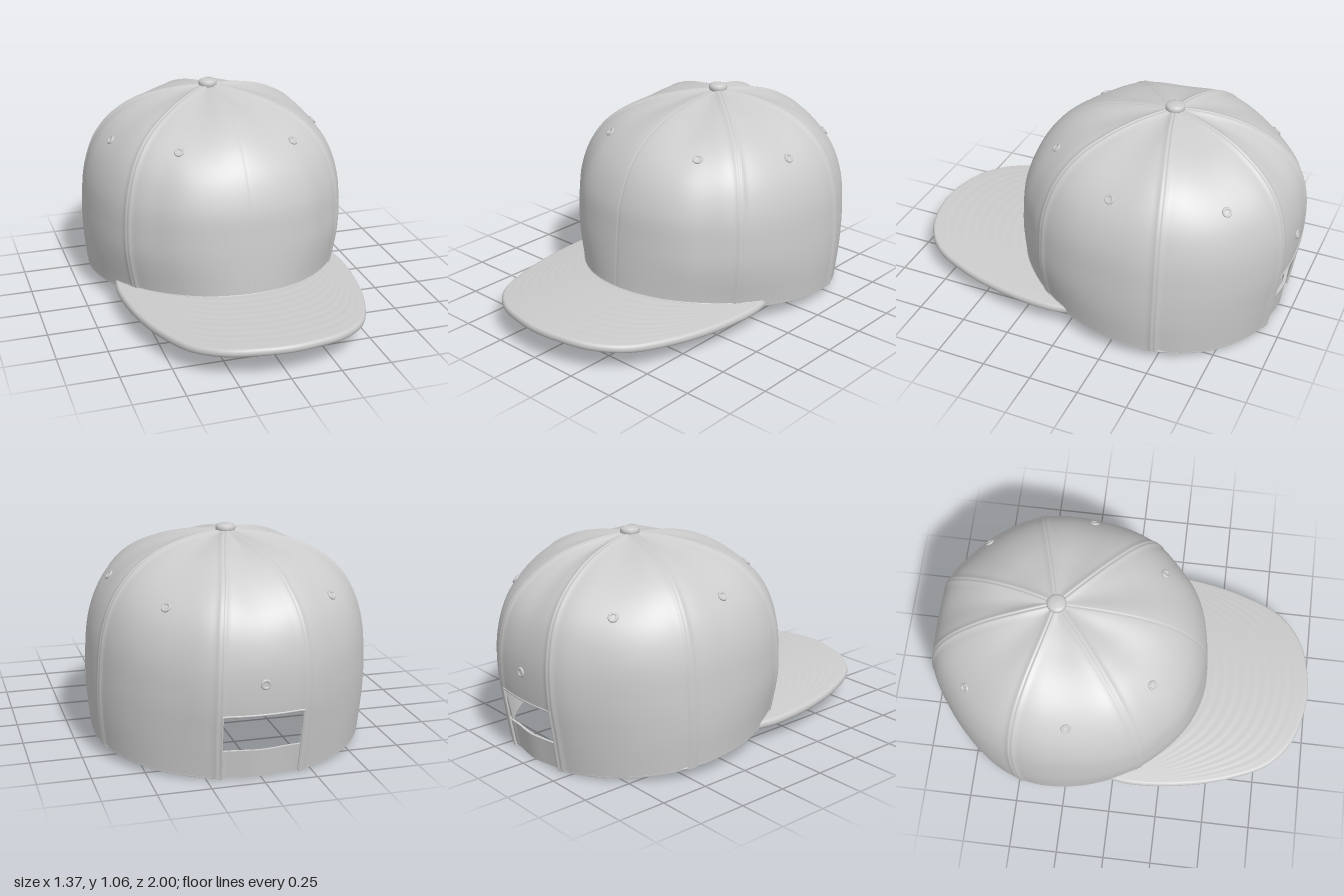
import * as THREE from 'three';
import { mergeVertices } from 'three/addons/utils/BufferGeometryUtils.js';

const material = new THREE.MeshStandardMaterial({ color: 0xcccccc, side: THREE.DoubleSide });
const rad = THREE.MathUtils.degToRad;
const { lerp, smoothstep } = THREE.MathUtils;
const CENTRE_Z = -0.33;
const SEAMS = [0, 53, 105, 163, 197, 255, 307, 360];
const OPEN_FROM = 164, OPEN_TO = 196, OPEN_TOP = 10 / 48;

// Crown profiles (radius, height) from the rim to the top button
const profile = pts => new THREE.CatmullRomCurve3(pts.map(([r, y]) => new THREE.Vector3(r, y, 0)));
const frontProfile = profile([[.777, .13], [.77, .3], [.758, .45], [.738, .6], [.675, .755], [.572, .872], [.42, .957], [.22, 1.007], [0, 1.03]]);
const sideProfile = profile([[.665, .068], [.682, .25], [.68, .42], [.66, .6], [.605, .755], [.51, .875], [.37, .96], [.19, 1.01], [0, 1.03]]);
const backProfile = profile([[.61, .002], [.635, .2], [.655, .38], [.65, .56], [.607, .72], [.525, .835], [.375, .945], [.18, 1.007], [0, 1.03]]);

// Point on the crown: a in degrees from the front towards +x, v from rim to top
function crownPoint(a, v, offset = 0) {
  const deg = ((a % 360) + 360) % 360;
  const s = Math.sin(rad(deg)), c = Math.cos(rad(deg));
  const end = (c > 0 ? frontProfile : backProfile).getPoint(v), side = sideProfile.getPoint(v);
  const mix = lerp(Math.abs(c), c * c, smoothstep(v, 0, 0.5));
  const p = new THREE.Vector3(s * side.x, lerp(side.y, end.y, mix), CENTRE_Z + c * end.x);
  const out = p.clone().sub(new THREE.Vector3(0, 0.4, CENTRE_Z));
  out.y *= smoothstep(v, 0.3, 0.6);
  out.normalize();

  // front corners pinch in at the rim and swell above it; back corners are square
  const corner = c > 0 ? (2 * s * c) ** 2 : 0;
  const swell = corner * (0.026 * Math.sin(Math.PI * Math.min(1, v / 0.75)) - 0.014 * (1 - smoothstep(v, 0, 0.2)));
  const square = 0.016 * Math.exp(-(((Math.abs(deg - 180) - 20) / 11) ** 2)) * Math.sin(Math.PI * Math.min(1, v / 0.72));

  // panels sag between the seams on the dome, front panels hollow beside the corner seams
  const k = Math.max(0, SEAMS.findIndex(d => d > deg) - 1);
  const t = (deg - SEAMS[k]) / (SEAMS[k + 1] - SEAMS[k]);
  const fromFront = Math.min(deg, 360 - deg);
  const sag = 0.014 * Math.sin(Math.PI * t) ** 2 * smoothstep(v, 0.35, 0.65) * (1 - smoothstep(v, 0.82, 1))
    + 0.01 * Math.exp(-(((fromFront - 40) / 8) ** 2)) * Math.sin(Math.PI * Math.min(1, v / 0.7));

  // soft raised seams with a stitched groove; the front seam is only a groove
  const nearest = t < 0.5 ? k : k + 1;
  const dist = rad(deg - SEAMS[nearest]) * Math.hypot(p.x, p.z - CENTRE_Z);
  const groove = Math.exp(-((dist / 0.006) ** 2));
  const seam = SEAMS[nearest] % 360 === 0 ? -0.002 * groove
    : 0.009 * Math.exp(-((dist / 0.02) ** 2)) - 0.006 * groove;
  return p.addScaledVector(out, swell + square - sag + seam + offset);
}

// Smooth surface from a rule fn(u, v) on a grid, with optional missing cells
function gridSurface(fn, nu, nv, skip = () => false) {
  const pos = [], index = [];
  for (let j = 0; j <= nv; j++)
    for (let i = 0; i <= nu; i++) pos.push(...fn(i / nu, j / nv).toArray());
  for (let j = 0; j < nv; j++)
    for (let i = 0; i < nu; i++) {
      if (skip((i + 0.5) / nu, (j + 0.5) / nv)) continue;
      const a = j * (nu + 1) + i, b = a + 1, d = a + nu + 1, c = d + 1;
      index.push(a, b, c, a, c, d);
    }
  let g = new THREE.BufferGeometry();
  g.setAttribute('position', new THREE.Float32BufferAttribute(pos, 3));
  g.setIndex(index);
  g = mergeVertices(g, 1e-5);
  g.computeVertexNormals();
  return g;
}

function tube(fn, n, radius) {
  const pts = Array.from({ length: n + 1 }, (_, i) => fn(i / n));
  return new THREE.TubeGeometry(new THREE.CatmullRomCurve3(pts), n * 2, radius, 8);
}

export function createModel() {
  const model = new THREE.Group();
  const add = (name, geometry, parent = model) => {
    const mesh = new THREE.Mesh(geometry, material);
    mesh.name = name;
    parent.add(mesh);
    return mesh;
  };

  // Crown shell with seams and the adjuster opening at the back
  add('crown', gridSurface((u, v) => crownPoint(u * 360, v), 720, 48,
    (u, v) => u * 360 > OPEN_FROM && u * 360 < OPEN_TO && v < OPEN_TOP));

  // Rim piping and the hem around the opening
  const sweep = OPEN_FROM - OPEN_TO + 360;
  add('rimPiping', tube(t => crownPoint(OPEN_TO + t * sweep, 0.004, -0.008), 80, 0.009));
  add('openingHem', tube(t => crownPoint(lerp(OPEN_FROM, OPEN_TO, t), OPEN_TOP, -0.002), 16, 0.006));
  for (const a of [OPEN_FROM, OPEN_TO])
    add('openingSideHem', tube(t => crownPoint(a, t * OPEN_TOP, -0.004), 8, 0.006));

  // Sweatband inside the rim
  add('sweatband', gridSurface((u, v) => crownPoint(OPEN_TO + u * sweep, 0.003 + v * 0.165, -0.022 + 0.008 * v), 120, 6));

  // Adjuster strap, slightly recessed and gently wavy
  const strapLoop = [[0, -0.012], [1, -0.012], [1, -0.026], [0, -0.026], [0, -0.012]];
  add('adjusterStrap', gridSurface((u, v) => {
    const [h, inset] = strapLoop[Math.round(v * 4)];
    return crownPoint(lerp(OPEN_FROM - 5, OPEN_TO + 5, u), 0.002 + h * 0.085, inset + 0.003 * Math.cos(u * Math.PI * 4));
  }, 30, 4).toNonIndexed()).geometry.computeVertexNormals();

  // Flat brim with a gentle arch, a rounded edge and rows of stitching
  const half = [[.13, .985], [.29, .935], [.43, .82], [.53, .61], [.585, .4], [.61, .2], [.612, .07], [.598, -.02]];
  const outline = new THREE.CatmullRomCurve3([
    ...half.slice().reverse().map(([x, z]) => new THREE.Vector3(-x, 0, z)),
    new THREE.Vector3(0, 0, 1),
    ...half.map(([x, z]) => new THREE.Vector3(x, 0, z))]);
  const brimHeight = x => 0.151 - 0.043 * (x / 0.6) ** 2;
  const section = [];
  for (let i = 0; i <= 40; i++) section.push([i / 40, -1]);
  for (let i = 1; i < 8; i++) {
    const t = -Math.PI / 2 + i * Math.PI / 8;
    section.push([1, Math.sin(t), Math.cos(t)]);
  }
  for (let i = 40; i >= 0; i--) section.push([i / 40, 1]);
  const nSection = section.length - 1;
  add('brim', gridSurface((u, v) => {
    const [d, h, round = 0] = section[Math.round(v * nSection)];
    const inner = crownPoint((u * 2 - 1) * 66, 0.01, -0.018);
    const outer = outline.getPointAt(u);
    const away = outer.clone().sub(new THREE.Vector3(0, 0, 0.15)).setY(0).normalize();
    outer.addScaledVector(away, 0.014 * (round - 1));
    const p = inner.lerp(outer, d);
    const fade = 1 - smoothstep(Math.abs(u * 2 - 1), 0.4, 0.8);
    const stitch = d < 0.95 ? 0.0008 * fade * Math.cos(d * Math.PI * 20) : 0;
    p.y = brimHeight(p.x) + h * (0.02 + stitch);
    return p;
  }, 80, nSection));

  // Fine seam where the brim meets the crown
  add('brimSeam', tube(t => {
    const p = crownPoint((t * 2 - 1) * 64, 0.025, -0.001);
    p.y = brimHeight(p.x) + 0.019;
    return p;
  }, 40, 0.004));

  // Ventilation eyelets, mirrored left and right, and one over the opening
  const eyelets = new THREE.Group();
  eyelets.name = 'eyelets';
  model.add(eyelets);
  for (const [a, v] of [[33.5, .598], [-33.5, .598], [80, .56], [-80, .56], [136, .55], [-136, .55], [180, .31]]) {
    const p = crownPoint(a, v);
    const du = crownPoint(a + 1, v).sub(crownPoint(a - 1, v));
    const dv = crownPoint(a, v + .01).sub(crownPoint(a, v - .01));
    const normal = du.cross(dv).normalize();
    const eyelet = new THREE.Group();
    eyelet.name = 'eyelet';
    add('eyeletRing', new THREE.TorusGeometry(0.018, 0.007, 8, 20), eyelet);
    add('eyeletCentre', new THREE.CircleGeometry(0.014, 16), eyelet).position.z = 0.002;
    eyelet.position.copy(p).addScaledVector(normal, 0.002);
    eyelet.quaternion.setFromUnitVectors(new THREE.Vector3(0, 0, 1), normal);
    eyelets.add(eyelet);
  }

  // Covered button on top
  const buttonProfile = [[0, 1.015], [.04, 1.015], [.047, 1.03], [.048, 1.042], [.043, 1.053], [.028, 1.058], [0, 1.06]]
    .map(([r, y]) => new THREE.Vector2(r, y));
  add('topButton', new THREE.LatheGeometry(buttonProfile, 28)).position.z = CENTRE_Z;

  return model;
}
